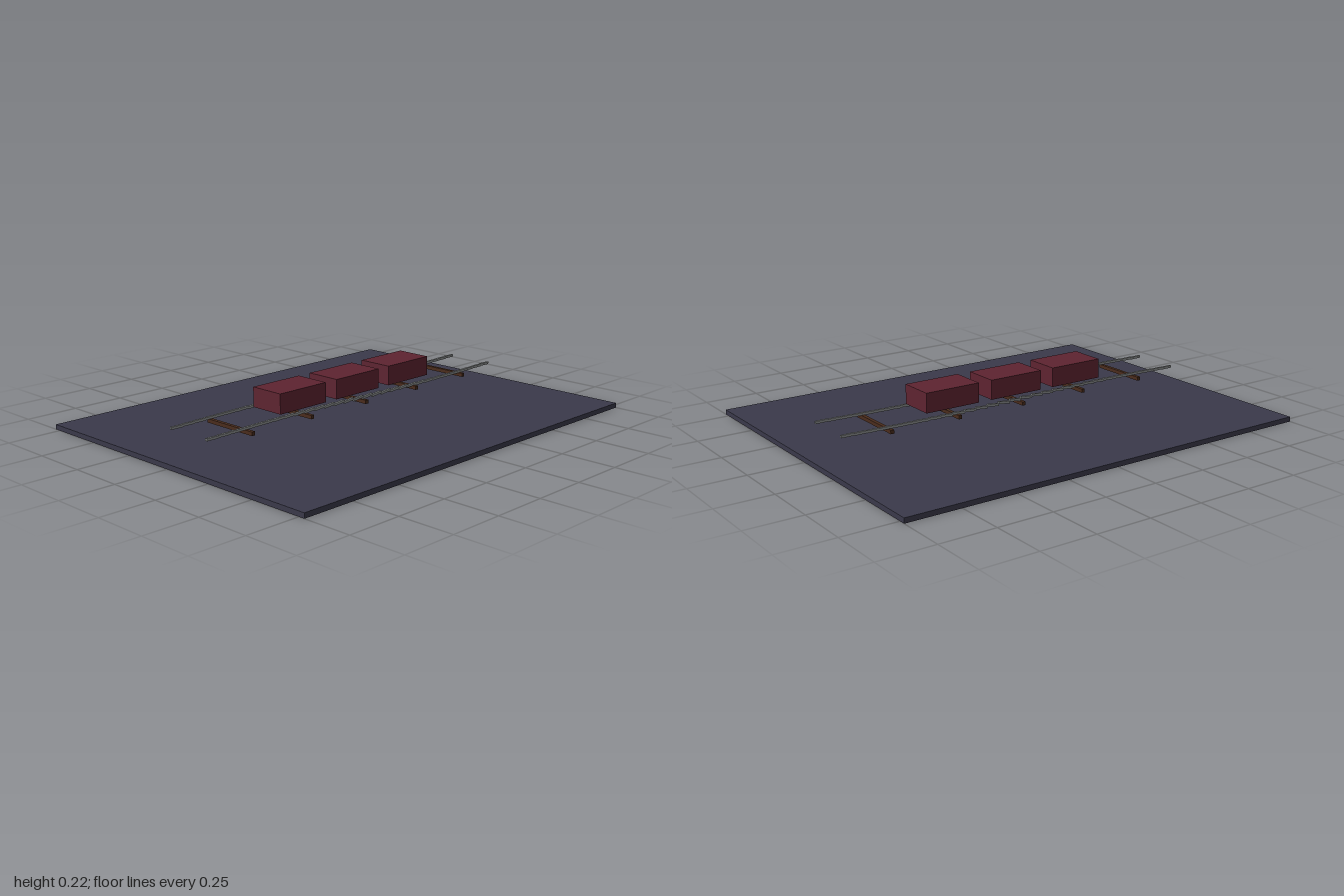
import * as THREE from 'three';

const material = (name, color) => {
  const m = new THREE.MeshStandardMaterial({ color });
  m.name = name;
  return m;
};

export function createModel() {
  const model = new THREE.Group();
  const slate = material('slate ground', 0x3a394a);
  const red = material('dark red', 0x5e2431);
  const wood = material('brown wood', 0x4a2c1c);
  const steel = material('grey steel', 0x8a8d8d);

  const box = (name, mat, size, pos, parent = model) => {
    const mesh = new THREE.Mesh(new THREE.BoxGeometry(...size), mat);
    mesh.name = name;
    mesh.position.set(...pos);
    parent.add(mesh);
    return mesh;
  };

  // Ground slab
  box('ground', slate, [2, 0.0222, 1.556], [0, 0.0111, 0]);

  // Five sleepers across the track
  for (let i = -2; i <= 2; i++) {
    box('sleeper', wood, [0.0167, 0.0167, 0.278], [i / 3, 0.103, 0]);
  }

  // Two gently waving rails made of short tilted pieces
  const pieces = 30, length = 1.778 / pieces;
  for (const side of [-1, 1]) {
    const rail = new THREE.Group();
    rail.name = side > 0 ? 'frontRail' : 'backRail';
    for (let i = 0; i < pieces; i++) {
      const x = -0.889 + (i + 0.5) * length;
      const y = 0.12 - 0.006 * Math.sin((Math.PI * x) / 0.889);
      const piece = box('railPiece', steel, [length, 0.011, 0.011], [x, y, side * 0.111], rail);
      piece.rotation.z = 0.05 + 0.06 * Math.cos((Math.PI * x) / 0.889);
    }
    model.add(rail);
  }

  // Three wagons
  for (let i = -1; i <= 1; i++) {
    box('wagon', red, [0.267, 0.089, 0.167], [i / 3, 0.1745, 0]);
  }
  return model;
}
